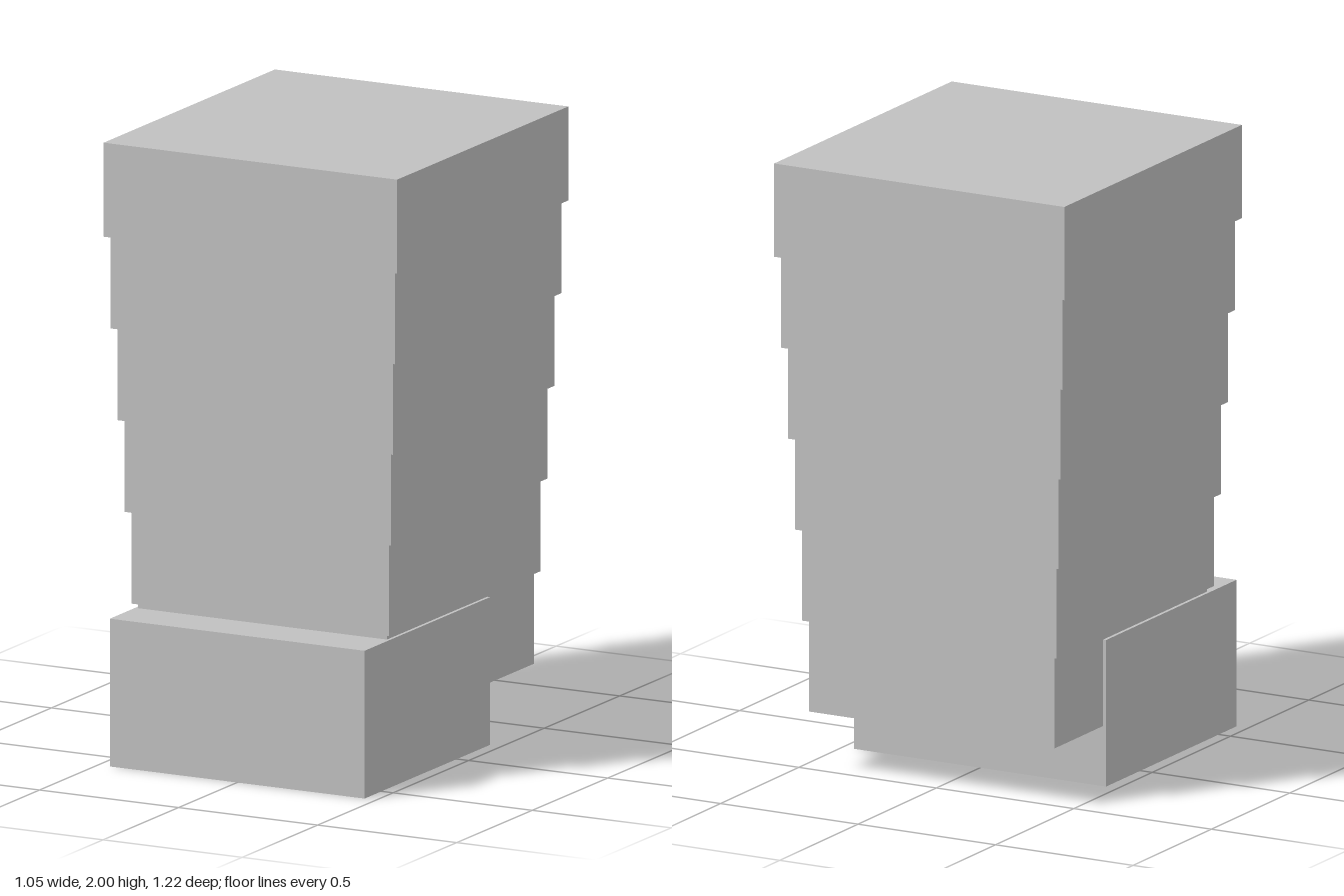
import * as THREE from 'three';

export function createModel() {
  const model = new THREE.Group();
  const grey = new THREE.MeshStandardMaterial({ color: 0xc0c0c0 });
  grey.name = 'light grey';

  // Box given by half width, vertical range and depth range
  function block(name, halfX, y0, y1, z0, z1) {
    const mesh = new THREE.Mesh(new THREE.BoxGeometry(2 * halfX, y1 - y0, z1 - z0), grey);
    mesh.position.set(0, (y0 + y1) / 2, (z0 + z1) / 2);
    mesh.name = name;
    model.add(mesh);
  }

  // Foot block, set forward of the tower
  block('base', 0.458, 0, 0.48, -0.22, 0.612);

  // Six stacked tiers, each a little larger than the one below; the top one is slightly taller
  const tiers = 6, bottom = 0.197, step = 0.2995;
  for (let i = 0; i < tiers; i++) {
    const grow = 0.0161 * i;
    const y = bottom + i * step;
    const top = i === tiers - 1 ? 2 : y + step;
    block(`tier${i + 1}`, 0.447 + grow, y, top, -0.529 - grow, 0.444 + grow);
  }
  return model;
}
